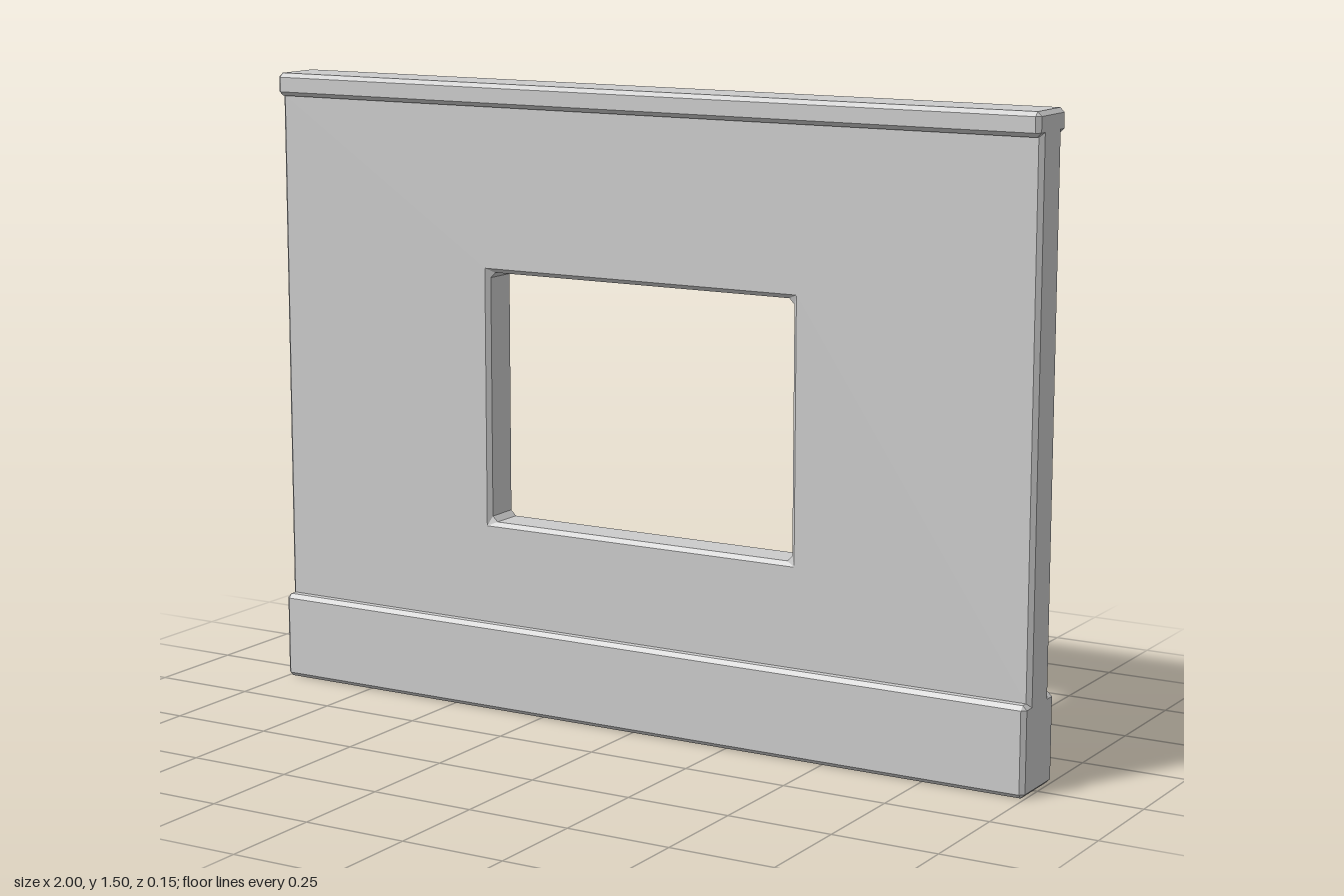
import * as THREE from 'three';
import { ConvexGeometry } from 'three/addons/geometries/ConvexGeometry.js';

const material = new THREE.MeshStandardMaterial({ color: 0xcccccc, flatShading: true });
const BEVEL = 0.01;

function part(name, geometry) {
  const mesh = new THREE.Mesh(geometry, material);
  mesh.name = name;
  return mesh;
}

// Box with all edges cut at 45 degrees
function chamferedBox(w, y0, y1, d, b = BEVEL) {
  const points = [];
  const hx = w / 2, hy = (y1 - y0) / 2, hz = d / 2;
  for (const x of [-1, 1]) for (const y of [-1, 1]) for (const z of [-1, 1]) {
    points.push(
      new THREE.Vector3(x * hx, y * (hy - b), z * (hz - b)),
      new THREE.Vector3(x * (hx - b), y * hy, z * (hz - b)),
      new THREE.Vector3(x * (hx - b), y * (hy - b), z * hz));
  }
  return new ConvexGeometry(points).translate(0, (y0 + y1) / 2, 0);
}

// Counter-clockwise rectangle of eight points, its corners cut by c
function ring(hx, y0, y1, c = 0) {
  return [
    [-hx + c, y0], [hx - c, y0], [hx, y0 + c], [hx, y1 - c],
    [hx - c, y1], [-hx + c, y1], [-hx, y1 - c], [-hx, y0 + c],
  ];
}

// Strip of faces joining successive rings, each given as [points, z]
function loft(rings) {
  const pos = [];
  for (let i = 0; i + 1 < rings.length; i++) {
    const [p, zp] = rings[i], [q, zq] = rings[i + 1];
    p.forEach((_, j) => {
      const k = (j + 1) % p.length;
      const a = [...p[j], zp], b = [...p[k], zp], c = [...q[k], zq], d = [...q[j], zq];
      pos.push(...a, ...d, ...c, ...a, ...c, ...b);
    });
  }
  const g = new THREE.BufferGeometry();
  g.setAttribute('position', new THREE.Float32BufferAttribute(pos, 3));
  g.computeVertexNormals();
  return g;
}

function createWall() {
  const wall = new THREE.Group();
  wall.name = 'wall';
  const z = 0.05, zi = z - BEVEL;
  const y0 = 0.2, y1 = 1.455;

  // Front and back faces with the window opening
  const face = new THREE.Shape([
    [-0.99, y0 + BEVEL], [0.99, y0 + BEVEL], [0.99, y1 - BEVEL], [-0.99, y1 - BEVEL],
  ].map(([x, y]) => new THREE.Vector2(x, y)));
  face.holes.push(new THREE.Path([
    [-0.415, 0.445], [-0.415, 1.065], [0.415, 1.065], [0.415, 0.445],
  ].map(([x, y]) => new THREE.Vector2(x, y))));
  wall.add(part('wallFront', new THREE.ShapeGeometry(face).translate(0, 0, z)));
  wall.add(part('wallBack', new THREE.ShapeGeometry(face).rotateY(Math.PI).translate(0, 0, -z)));

  // Outer rim with bevelled edges
  const outer = ring(1, y0, y1), inset = ring(0.99, y0 + BEVEL, y1 - BEVEL);
  wall.add(part('wallRim', loft([[inset, z], [outer, zi], [outer, -zi], [inset, -z]])));

  // Window reveal, square at the faces and with cut corners inside
  const mouth = ring(0.415, 0.445, 1.065), throat = ring(0.405, 0.455, 1.055, 0.013);
  wall.add(part('windowReveal', loft([[mouth, -z], [throat, -zi], [throat, zi], [mouth, z]])));
  return wall;
}

export function createModel() {
  const model = new THREE.Group();
  model.name = 'windowWall';
  model.add(part('plinth', chamferedBox(2, 0, 0.21, 0.154)));
  model.add(createWall());
  model.add(part('topCap', chamferedBox(2, 1.445, 1.5, 0.138)));
  return model;
}
